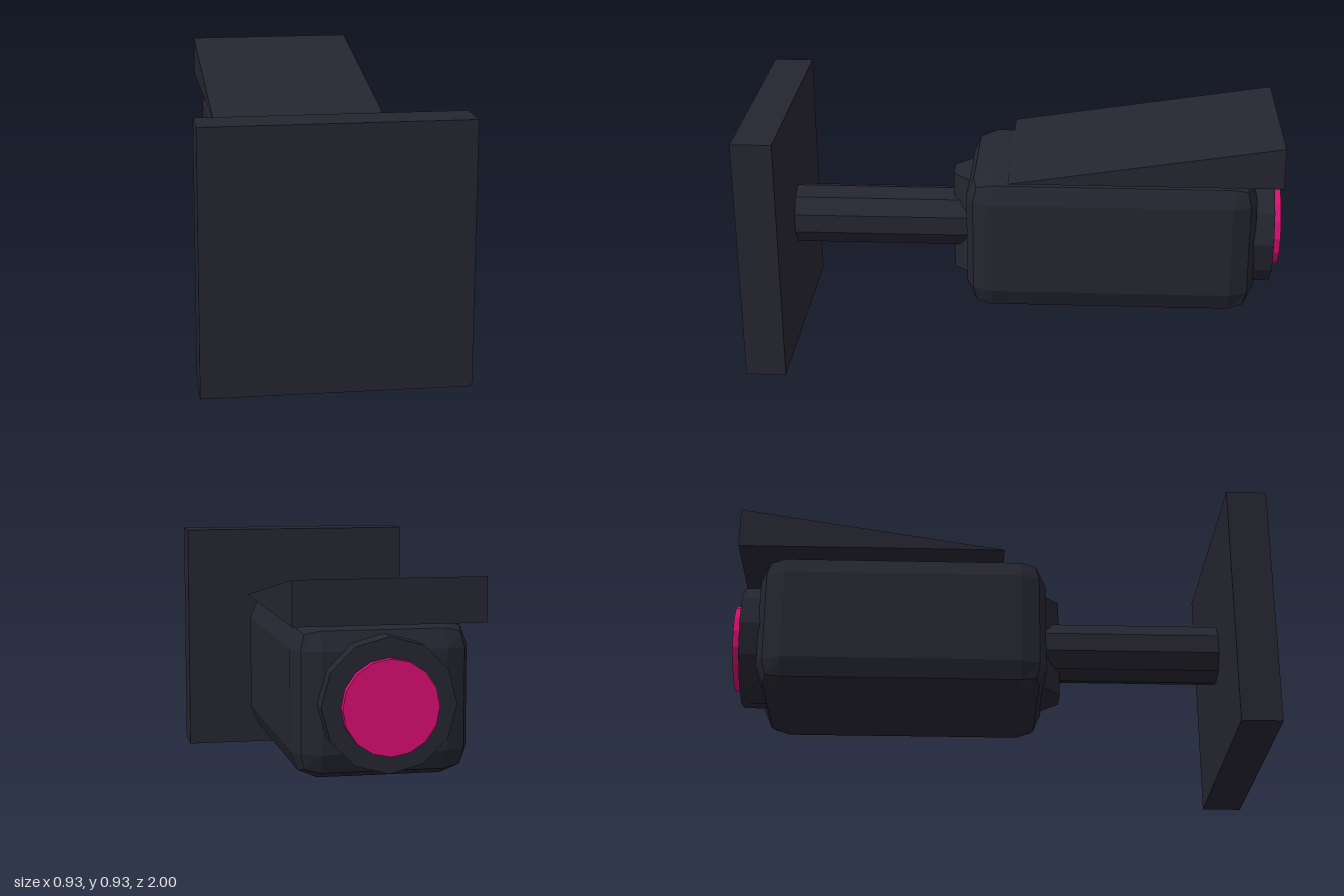
import * as THREE from 'three';
import { RoundedBoxGeometry } from 'three/addons/geometries/RoundedBoxGeometry.js';

export function createModel() {
  const model = new THREE.Group();
  model.name = 'securityCamera';

  const casing = new THREE.MeshStandardMaterial({ color: 0x252530 });
  casing.name = 'dark casing';
  casing.flatShading = true;
  const glass = new THREE.MeshStandardMaterial({ color: 0xd60e70 });
  glass.name = 'pink lens';
  glass.flatShading = true;

  function add(name, geometry, material, x, y, z) {
    const mesh = new THREE.Mesh(geometry, material);
    mesh.name = name;
    mesh.position.set(x, y, z);
    model.add(mesh);
    return mesh;
  }

  // Cylinder along z between two depths
  function barrel(name, radius, sides, y, zBack, zFront, material) {
    const geometry = new THREE.CylinderGeometry(radius, radius, zFront - zBack, sides);
    geometry.rotateX(Math.PI / 2);
    return add(name, geometry, material, 0, y, (zBack + zFront) / 2);
  }

  // Square mounting plate and its arm
  add('wallPlate', new THREE.BoxGeometry(0.93, 0.93, 0.15), casing, 0, 0.465, 0.925);
  barrel('arm', 0.115, 10, 0.465, 0.12, 0.86, casing);

  // Upright octagonal pivot set into the body
  const pivot = new THREE.CylinderGeometry(0.119, 0.119, 0.39, 8);
  pivot.rotateY(Math.PI / 8);
  add('pivot', pivot, casing, 0, 0.465, 0.13);

  // Bevelled camera body
  add('body', new RoundedBoxGeometry(0.62, 0.54, 1.08, 1, 0.095), casing, 0, 0.469, -0.36);

  // Lens housing and lens
  barrel('lensHousing', 0.232, 12, 0.468, -0.97, -0.84, casing);
  barrel('lens', 0.165, 16, 0.465, -1, -0.94, glass);

  // Wedge-shaped sun visor, extruded across the width
  const profile = new THREE.Shape([
    new THREE.Vector2(-0.02, 0.74),
    new THREE.Vector2(0.98, 0.74),
    new THREE.Vector2(0.98, 0.895),
  ]);
  const visor = new THREE.ExtrudeGeometry(profile, { depth: 0.66, bevelEnabled: false });
  visor.translate(0, 0, -0.33);
  visor.rotateY(Math.PI / 2);
  add('visor', visor, casing, 0, 0, 0);

  return model;
}
